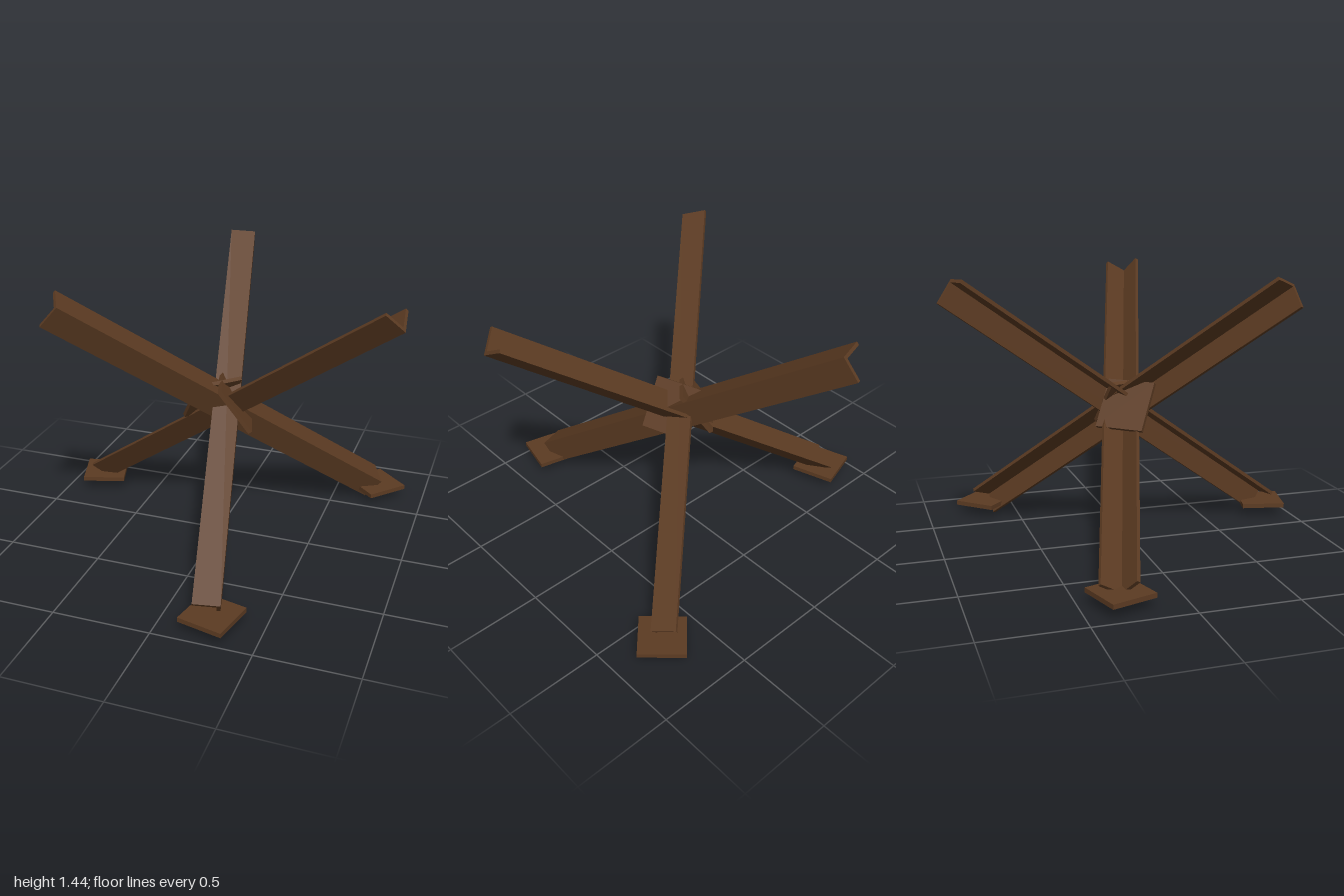
import * as THREE from 'three';

const DEG = Math.PI / 180;
const ELEVATION = Math.atan(Math.SQRT1_2); // the three beams are mutually perpendicular

// Orientation whose -z axis climbs towards the given heading; x stays level
function climbing(heading) {
  const a = heading * DEG, c = Math.cos(ELEVATION), s = Math.sin(ELEVATION);
  const side = new THREE.Vector3(-Math.sin(a), 0, Math.cos(a));
  const over = new THREE.Vector3(-s * Math.cos(a), c, -s * Math.sin(a));
  const down = new THREE.Vector3(-c * Math.cos(a), -s, -c * Math.sin(a));
  return new THREE.Matrix4().makeBasis(side, over, down);
}

export function createModel() {
  const model = new THREE.Group();
  model.name = 'antiTankObstacle';
  const rust = new THREE.MeshStandardMaterial({ color: 0x5c3b22 });
  rust.name = 'rusty brown steel';

  const add = (geometry, name) => {
    const mesh = new THREE.Mesh(geometry, rust);
    mesh.name = name;
    model.add(mesh);
    return mesh;
  };

  // L-shaped section with its outer corner at the origin
  const w = 0.135, t = 0.018, length = 2.25;
  const section = new THREE.Shape([
    [0, 0], [w, 0], [w, t], [t, t], [t, w], [0, w],
  ].map(([x, y]) => new THREE.Vector2(x, y)));

  // Each beam: heading of its raised end, roll of the section, top corner, foot plate centre
  const beams = [
    { name: 'Left', heading: 17.2, roll: 54, top: [0.963, 1.34, 0.25], foot: [-0.822, -0.312] },
    { name: 'Back', heading: 257.2, roll: 176, top: [-0.105, 1.43, -0.928], foot: [0.257, 0.855] },
    { name: 'Right', heading: 137.2, roll: 293.5, top: [-0.578, 1.405, 0.617], foot: [0.73, -0.67] },
  ];

  for (const { name, heading, roll, top, foot } of beams) {
    const beam = new THREE.ExtrudeGeometry(section, { depth: length, bevelEnabled: false });
    beam.rotateZ(roll * DEG);
    beam.applyMatrix4(climbing(heading));
    add(beam, 'angleBeam' + name).position.set(...top);

    const plate = add(new THREE.BoxGeometry(0.236, 0.024, 0.236), 'footPlate' + name);
    plate.position.set(foot[0], 0.07, foot[1]);
    plate.rotation.y = heading * DEG;
  }

  // Gusset plates welded over the crossing
  for (const [name, heading] of [['Left', -17.2], ['Right', -137.2]]) {
    const gusset = new THREE.BoxGeometry(0.26, 0.27, 0.022);
    gusset.translate(0, 0, -0.1);
    gusset.applyMatrix4(climbing(heading));
    add(gusset, 'gussetPlate' + name).position.set(0, 0.7, 0);
  }

  return model;
}
